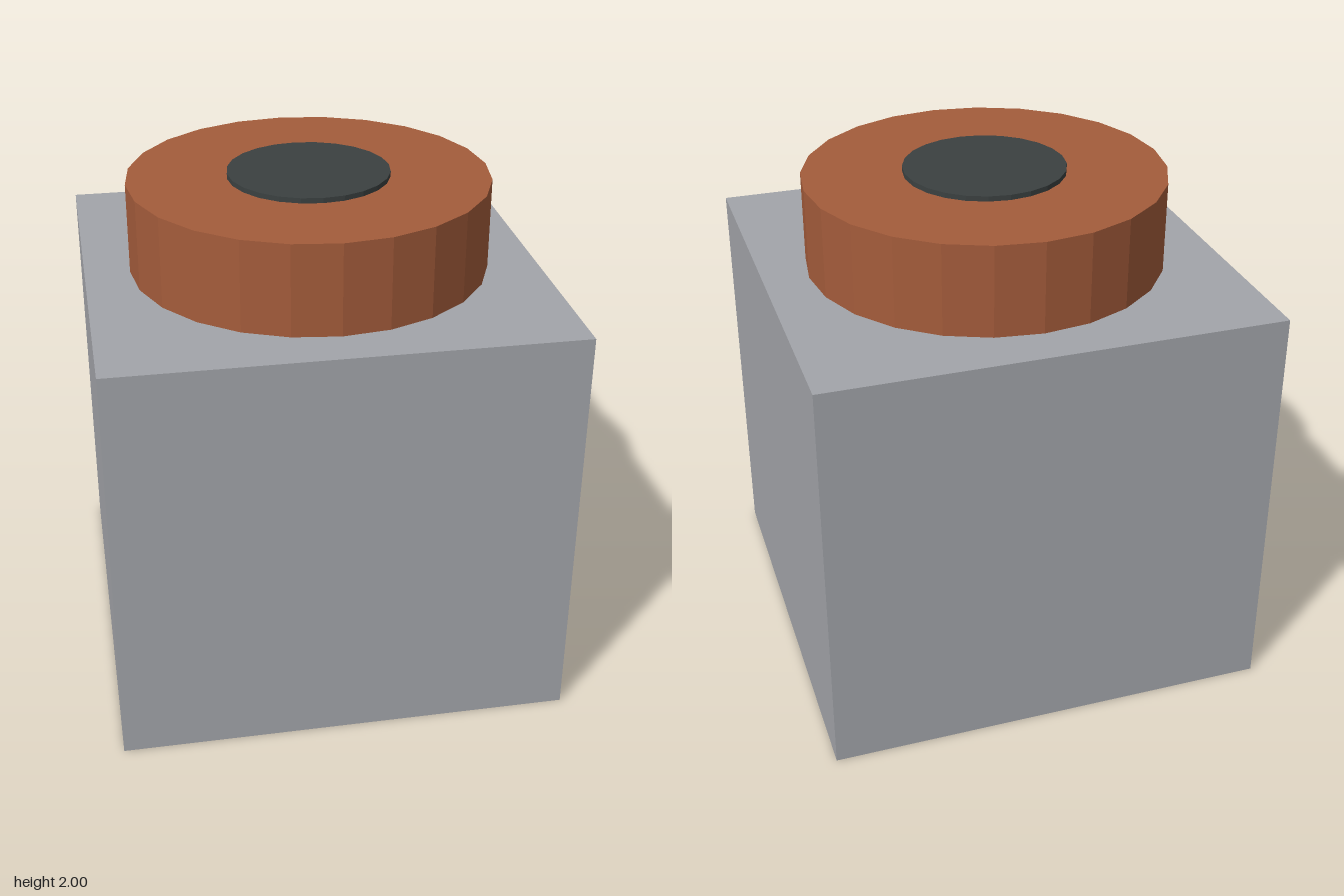
import * as THREE from 'three';

export function createModel() {
  const group = new THREE.Group();
  const material = (name, color) =>
    new THREE.MeshStandardMaterial({ name, color, flatShading: true });
  const stone = material('grey stone', 0xa3a5aa);
  const clay = material('terracotta', 0xa45c3b);
  const soil = material('dark soil', 0x3b4141);

  const add = (name, geometry, mat, bottom, height) => {
    const mesh = new THREE.Mesh(geometry, mat);
    mesh.name = name;
    mesh.position.y = bottom + height / 2;
    group.add(mesh);
  };

  // Square block at the base
  add('baseBlock', new THREE.BoxGeometry(1.755, 1.625, 1.755), stone, 0, 1.625);
  // Wide faceted drum on the block
  add('drum', new THREE.CylinderGeometry(0.702, 0.702, 0.355, 24), clay, 1.625, 0.355);
  // Thin dark disc on the drum
  add('topDisc', new THREE.CylinderGeometry(0.315, 0.315, 0.02, 24), soil, 1.98, 0.02);

  return group;
}
